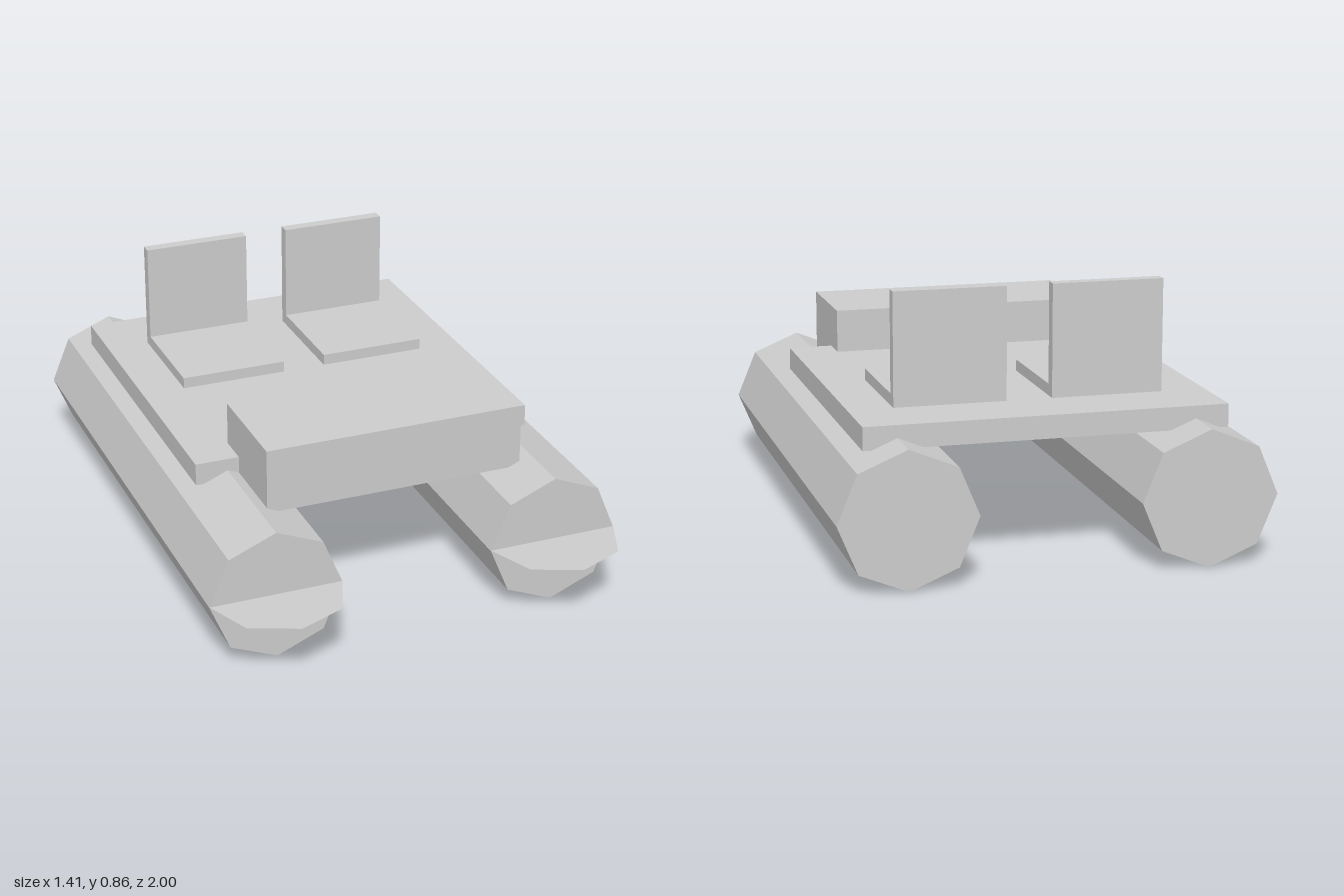
import * as THREE from 'three';

export function createModel() {
  const model = new THREE.Group();
  model.name = 'pontoonBoat';
  const grey = new THREE.MeshStandardMaterial({ color: 0xcccccc, flatShading: true, side: THREE.DoubleSide });
  grey.name = 'light grey';

  const add = (name, geometry, x, y, z, parent = model) => {
    const mesh = new THREE.Mesh(geometry, grey);
    mesh.name = name;
    mesh.position.set(x, y, z);
    parent.add(mesh);
    return mesh;
  };
  // Box given by its limits on each axis
  const box = (name, [x0, x1], [y0, y1], [z0, z1], parent) =>
    add(name, new THREE.BoxGeometry(x1 - x0, y1 - y0, z1 - z0),
      (x0 + x1) / 2, (y0 + y1) / 2, (z0 + z1) / 2, parent);

  // Deck and front console
  box('deck', [-0.59, 0.59], [0.41, 0.485], [-0.855, 0.33]);
  box('console', [-0.442, 0.442], [0.411, 0.63], [0.223, 0.593]);

  const radius = 0.222;
  for (const [label, side] of [['left', 1], ['right', -1]]) {
    // Octagonal float with a flat half-disc bow plate
    const float = new THREE.Group();
    float.name = label + 'Float';
    float.position.set(side * 0.481, radius, 0);
    model.add(float);
    const hull = new THREE.CylinderGeometry(radius, radius, 1.778, 8).rotateX(Math.PI / 2);
    add('hull', hull, 0, 0, -0.111, float);
    const bow = new THREE.CircleGeometry(radius, 4, 0, Math.PI).rotateX(Math.PI / 2);
    add('bowPlate', bow, 0, 0.003, 0.778, float);

    // Seat with upright back
    const seat = new THREE.Group();
    seat.name = label + 'Seat';
    seat.position.x = side * 0.259;
    model.add(seat);
    box('seatBase', [-0.184, 0.184], [0.485, 0.523], [-0.597, -0.225], seat);
    box('seatBack', [-0.184, 0.184], [0.485, 0.855], [-0.637, -0.597], seat);
  }
  return model;
}
